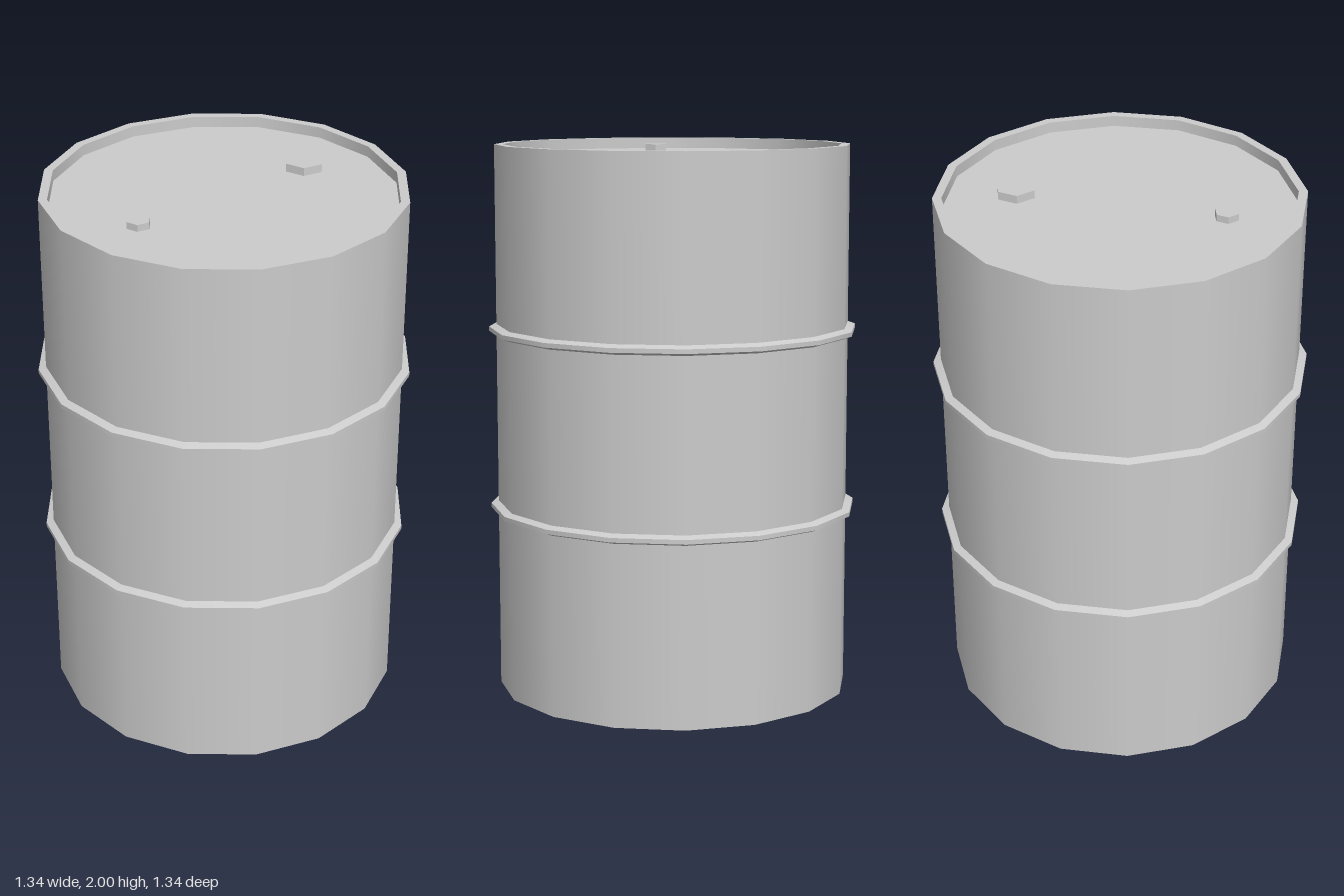
import * as THREE from 'three';
import { mergeGeometries } from 'three/addons/utils/BufferGeometryUtils.js';

const SIDES = 16;
const TURN = THREE.MathUtils.degToRad(5.1); // rotation of the sixteen-sided section
const R = 0.646, HOOP_R = 0.673, RIM_R = 0.614, LID_Y = 1.96;

const metal = new THREE.MeshStandardMaterial({ color: 0xcccccc, side: THREE.DoubleSide });
const boltMetal = new THREE.MeshStandardMaterial({ color: 0xcccccc, flatShading: true });

// Turns a profile, smooth around the axis and sharp between profile segments
function turned(name, profile) {
  const bands = [];
  for (let i = 0; i < profile.length - 1; i++) {
    const pts = [profile[i], profile[i + 1]].map(([r, y]) => new THREE.Vector2(r, y));
    bands.push(new THREE.LatheGeometry(pts, SIDES, TURN, Math.PI * 2));
  }
  const mesh = new THREE.Mesh(mergeGeometries(bands), metal);
  mesh.name = name;
  return mesh;
}

// Hexagonal plug standing on the lid
function plug(name, radius, height, x, z) {
  const geo = new THREE.CylinderGeometry(radius, radius, height, 6, 1, false, Math.PI / 6);
  const mesh = new THREE.Mesh(geo, boltMetal);
  mesh.name = name;
  mesh.position.set(x, LID_Y + height / 2, z);
  return mesh;
}

export function createModel() {
  const drum = new THREE.Group();
  drum.name = 'drum';

  // Thin wall sections, open at the bottom, with a hollow hoop between each pair
  const hoops = [0.676, 1.332];
  let base = 0;
  hoops.forEach((y, i) => {
    drum.add(turned(`wall${i + 1}`, [[R, base], [R, y - 0.018]]));
    drum.add(turned(`hoop${i + 1}`, [
      [R, y - 0.018], [HOOP_R, y - 0.008], [HOOP_R, y + 0.008], [R, y + 0.018],
    ]));
    base = y + 0.018;
  });
  drum.add(turned('wall3', [[R, base], [R, 2]]));

  // Flat rim, dropping to the recessed lid
  drum.add(turned('rim', [[R, 2], [RIM_R, 2], [RIM_R, LID_Y]]));
  drum.add(turned('lid', [[RIM_R, LID_Y], [0, LID_Y]]));

  drum.add(plug('largePlug', 0.073, 0.03, 0.363, -0.081));
  drum.add(plug('smallPlug', 0.044, 0.025, -0.366, 0.073));
  return drum;
}
